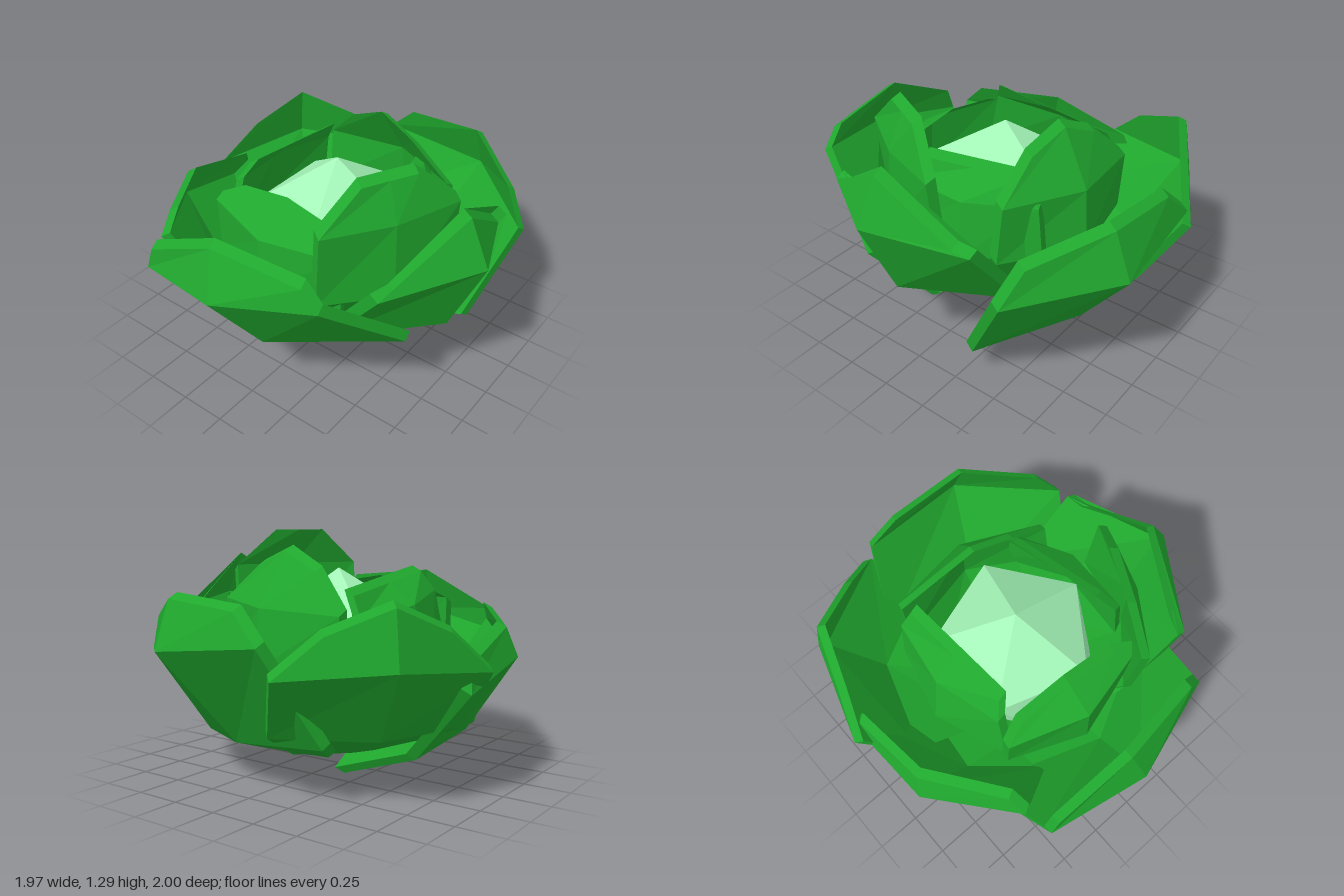
import * as THREE from 'three';

const leafMaterial = new THREE.MeshStandardMaterial({ color: 0x20a82e, flatShading: true });
const coreMaterial = new THREE.MeshStandardMaterial({ color: 0xa4f6b8, flatShading: true });

// Thick leaf facing +z, built from rows running from base to tip.
// Row: [half width, height, distance from axis, how far the sides fall back, how far they rise]
function leafGeometry(rows, thickness) {
  const outer = rows.map(([w, y, r, back = 0, rise = 0]) => [
    new THREE.Vector3(-w, y + rise, r - back),
    new THREE.Vector3(0, y, r),
    new THREE.Vector3(w, y + rise, r - back),
  ]);
  const offset = new THREE.Vector3(0, thickness * 0.6, -thickness);
  const inner = outer.map(row => row.map(p => p.clone().add(offset)));

  const points = [];
  const quad = (a, b, c, d) => points.push(a, b, c, a, c, d);
  const last = rows.length - 1;
  for (let i = 0; i < last; i++) {
    for (let j = 0; j < 2; j++) {
      quad(outer[i][j], outer[i][j + 1], outer[i + 1][j + 1], outer[i + 1][j]);
      quad(inner[i][j + 1], inner[i][j], inner[i + 1][j], inner[i + 1][j + 1]);
    }
  }

  // Rim joining the two skins
  const loop = [[0, 0], [0, 1]];
  for (let i = 0; i <= last; i++) loop.push([i, 2]);
  loop.push([last, 1]);
  for (let i = last; i > 0; i--) loop.push([i, 0]);
  loop.forEach(([i, j], k) => {
    const [m, n] = loop[(k + 1) % loop.length];
    quad(outer[i][j], inner[i][j], inner[m][n], outer[m][n]);
  });

  const geometry = new THREE.BufferGeometry().setFromPoints(points);
  geometry.computeVertexNormals();
  return geometry;
}

// Place a leaf: roll it about its own middle, then turn it round the head
function addLeaf(group, name, turn, roll, rows, thickness = 0.05) {
  const geometry = leafGeometry(rows, thickness);
  geometry.translate(0, -0.5, 0);
  geometry.rotateZ(roll);
  geometry.translate(0, 0.5, 0);
  geometry.rotateY(THREE.MathUtils.degToRad(turn));
  const mesh = new THREE.Mesh(geometry, leafMaterial);
  mesh.name = name;
  group.add(mesh);
}

export function createModel() {
  const group = new THREE.Group();
  group.name = 'leafyHead';

  // Pale heart: an icosahedron standing on one corner
  const coreGeometry = new THREE.IcosahedronGeometry(0.49, 0);
  coreGeometry.rotateX(-Math.atan((1 + Math.sqrt(5)) / 2));
  coreGeometry.rotateY(Math.PI / 2);
  const core = new THREE.Mesh(coreGeometry, coreMaterial);
  core.name = 'core';
  core.position.y = 0.61;
  group.add(core);

  // Open outer leaves
  addLeaf(group, 'outerLeafFront', 3, 0.18, [
    [0.41, 0.1, 0.2, 0.04], [0.67, 0.36, 0.71, 0.3],
    [0.54, 0.78, 1.0, 0.14], [0.47, 1.03, 0.9, 0.04, -0.13],
  ]);
  addLeaf(group, 'outerLeafLeft', 83, 0, [
    [0.32, 0.11, 0.08, 0.03], [0.5, 0.44, 0.78, 0.36],
    [0.5, 0.89, 0.98, 0.24, -0.04], [0.4, 1.13, 0.86, 0.1, -0.27],
  ]);
  addLeaf(group, 'outerLeafBack', 161, 0.11, [
    [0.3, 0.13, 0.34, 0.04], [0.58, 0.23, 0.66, 0.14],
    [0.57, 0.73, 1.06, 0.23], [0.42, 0.98, 0.97, 0.12, -0.08],
  ]);
  addLeaf(group, 'outerLeafBackRight', -130, 0, [
    [0.3, 0.13, 0.25, 0.05], [0.5, 0.33, 0.8, 0.2],
    [0.53, 0.7, 1.07, 0.21, -0.05], [0.3, 0.98, 1.02, 0.1, -0.13],
  ]);
  addLeaf(group, 'outerLeafRight', -70, 0.2, [
    [0.27, 0.05, 0.1, 0.02], [0.4, 0.23, 0.7, 0.2],
    [0.54, 0.66, 0.97, 0.17], [0.46, 0.82, 0.91, 0.12, -0.04],
  ]);

  // Upright inner leaves wrapped round the heart
  addLeaf(group, 'innerLeafFront', -3, 0, [
    [0.3, 0.3, 0.45, 0.1], [0.42, 0.6, 0.62, 0.15],
    [0.42, 0.9, 0.6, 0.12], [0.3, 1.01, 0.43, 0, -0.05],
  ]);
  addLeaf(group, 'innerLeafFrontLeft', 63, 0, [
    [0.25, 0.3, 0.42, 0.08], [0.38, 0.65, 0.65, 0.1],
    [0.38, 1.07, 0.64, 0.05], [0.15, 1.27, 0.56],
  ]);
  addLeaf(group, 'innerLeafLeft', 103, 0, [
    [0.3, 0.3, 0.42, 0.08], [0.4, 0.6, 0.57, 0.13],
    [0.37, 0.9, 0.53, 0.1], [0.26, 1.02, 0.39],
  ]);
  addLeaf(group, 'innerLeafBack', 170, -0.04, [
    [0.3, 0.3, 0.42, 0.08], [0.45, 0.6, 0.6, 0.18],
    [0.44, 0.92, 0.57, 0.13], [0.22, 1.2, 0.4, 0, -0.09],
  ]);
  addLeaf(group, 'innerLeafRight', -88, 0.13, [
    [0.3, 0.3, 0.44, 0.08], [0.42, 0.6, 0.58, 0.13],
    [0.38, 0.93, 0.5, 0.08], [0.34, 1.04, 0.36],
  ]);
  return group;
}
